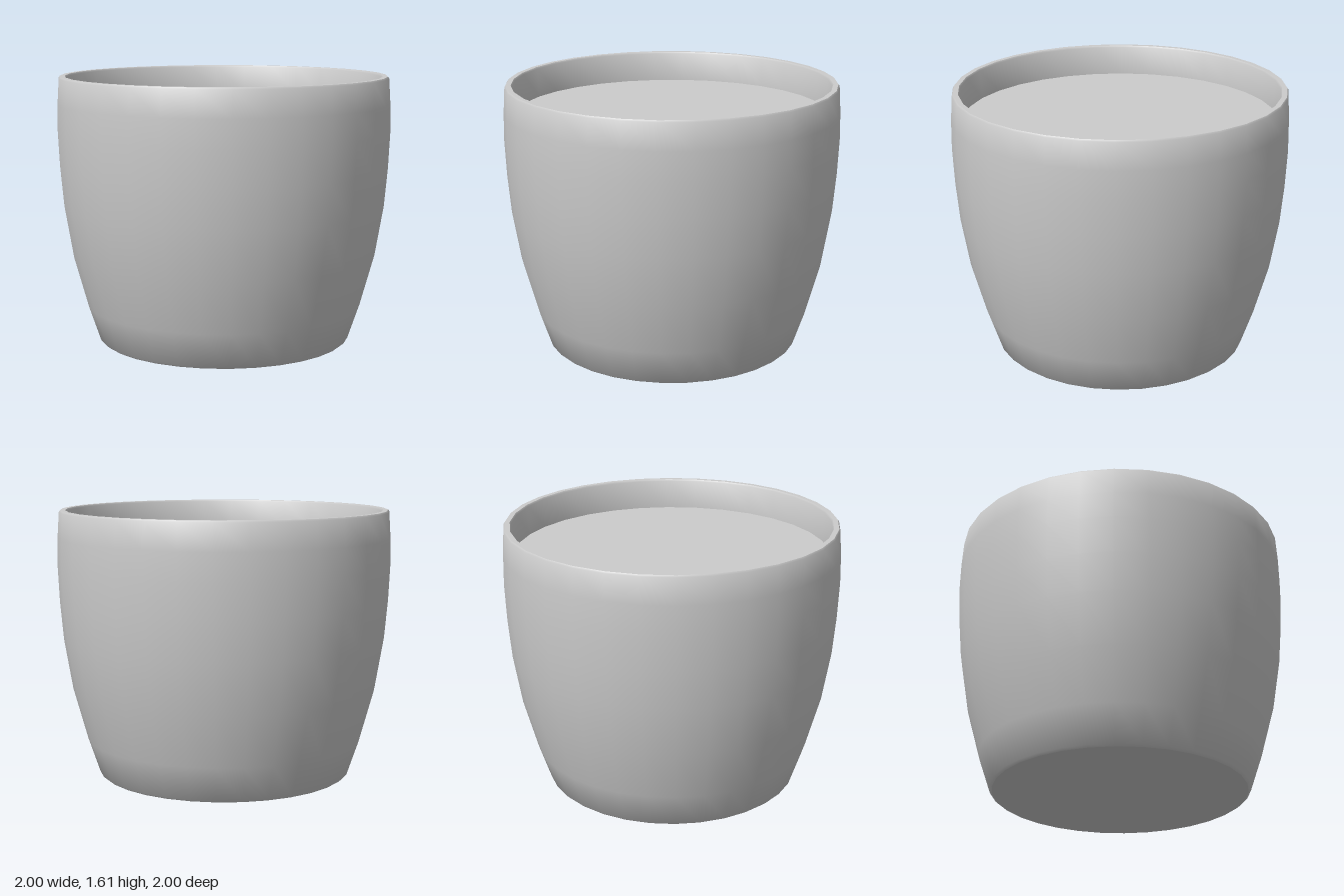
import * as THREE from 'three';
import { toCreasedNormals } from 'three/addons/utils/BufferGeometryUtils.js';

const SIDES = 32;
const material = new THREE.MeshStandardMaterial({ color: 0xcccccc });

function addMesh(group, name, geometry) {
  const mesh = new THREE.Mesh(geometry, material);
  mesh.name = name;
  group.add(mesh);
  return mesh;
}

// Turned part from [radius, height] pairs, with sharp edges kept
function turned(profile) {
  const points = profile.map(([r, y]) => new THREE.Vector2(r, y));
  return toCreasedNormals(new THREE.LatheGeometry(points, SIDES), 0.6);
}

// Flat disc facing up or down
function disc(radius, y, up) {
  return new THREE.CircleGeometry(radius, SIDES)
    .rotateX(up ? -Math.PI / 2 : Math.PI / 2)
    .translate(0, y, 0);
}

export function createModel() {
  const model = new THREE.Group();
  model.name = 'plantPot';

  // Bulging outer wall with a small bevel at the foot
  // and a thin rim that turns down inside to the soil
  addMesh(model, 'potWall', turned([
    [0.75, 0], [0.765, 0.012], [0.835, 0.22], [0.92, 0.53], [0.97, 0.83],
    [0.99, 1.06], [1, 1.28], [0.997, 1.44], [0.987, 1.595],
    [0.98, 1.605], [0.95, 1.605], [0.943, 1.595], [0.935, 1.42],
  ]));

  // Underside
  addMesh(model, 'potBase', disc(0.75, 0, false));

  // Soil filling the pot to just below the rim
  addMesh(model, 'soil', disc(0.935, 1.42, true));

  return model;
}
